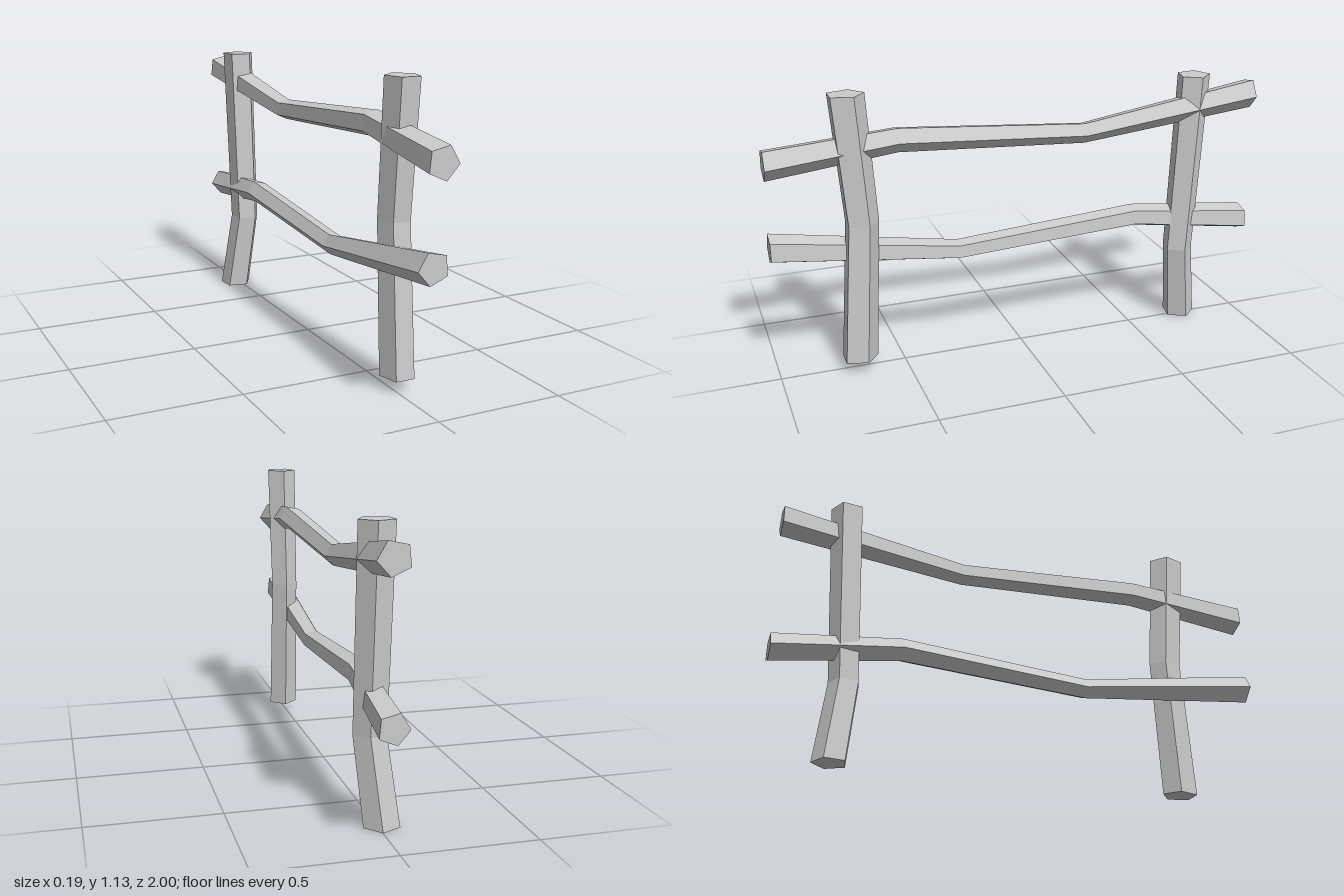
import * as THREE from 'three';

const SIDES = 5;
const material = new THREE.MeshStandardMaterial({ color: 0xcccccc, flatShading: true });

// Crooked five-sided timber skinned through sections [x, y, z, radius].
// Posts have level sections and run top to bottom; rails have upright sections and run back to front.
function timber(name, upright, phaseDeg, sections, stretch = 1) {
  const positions = [];
  const index = [];
  const phase = THREE.MathUtils.degToRad(phaseDeg);
  for (const [x, y, z, r] of sections) {
    for (let i = 0; i < SIDES; i++) {
      const a = phase + (i / SIDES) * Math.PI * 2;
      const u = r * Math.cos(a);
      const v = r * Math.sin(a) * stretch;
      if (upright) positions.push(x + u, y, z + v);
      else positions.push(x + u, y + v, z);
    }
  }
  // side faces
  for (let s = 0; s < sections.length - 1; s++) {
    for (let i = 0; i < SIDES; i++) {
      const a = s * SIDES + i;
      const b = s * SIDES + ((i + 1) % SIDES);
      index.push(a, b, b + SIDES, a, b + SIDES, a + SIDES);
    }
  }
  // sawn ends
  const last = (sections.length - 1) * SIDES;
  for (let i = 1; i < SIDES - 1; i++) {
    index.push(0, i + 1, i);
    index.push(last, last + i, last + i + 1);
  }
  const indexed = new THREE.BufferGeometry();
  indexed.setAttribute('position', new THREE.Float32BufferAttribute(positions, 3));
  indexed.setIndex(index);
  const geometry = indexed.toNonIndexed();
  geometry.computeVertexNormals();
  const mesh = new THREE.Mesh(geometry, material);
  mesh.name = name;
  return mesh;
}

export function createModel() {
  const fence = new THREE.Group();
  fence.name = 'fence';

  fence.add(
    // posts, each with one kink
    timber('frontPost', true, -90, [
      [0.02, 1.13, 0.689, 0.0635],
      [0.018, 0.62, 0.652, 0.059],
      [0.02, 0.05, 0.689, 0.0635],
    ], 1.165),
    timber('backPost', true, -6, [
      [0.013, 1.08, -0.745, 0.068],
      [0.02, 0.33, -0.707, 0.063],
      [-0.015, 0, -0.747, 0.068],
    ]),

    // rails, each with two kinks and a thinner middle
    timber('upperRail', false, -6, [
      [0.031, 0.987, -1, 0.062],
      [0.02, 0.887, -0.26, 0.043],
      [0.015, 0.938, 0.5, 0.051],
      [-0.008, 0.884, 1, 0.062],
    ]),
    timber('lowerRail', false, 41, [
      [0.027, 0.434, -1, 0.058],
      [-0.005, 0.49, -0.5, 0.048],
      [-0.021, 0.437, 0.26, 0.042],
      [-0.034, 0.539, 1, 0.061],
    ]),
  );
  return fence;
}
